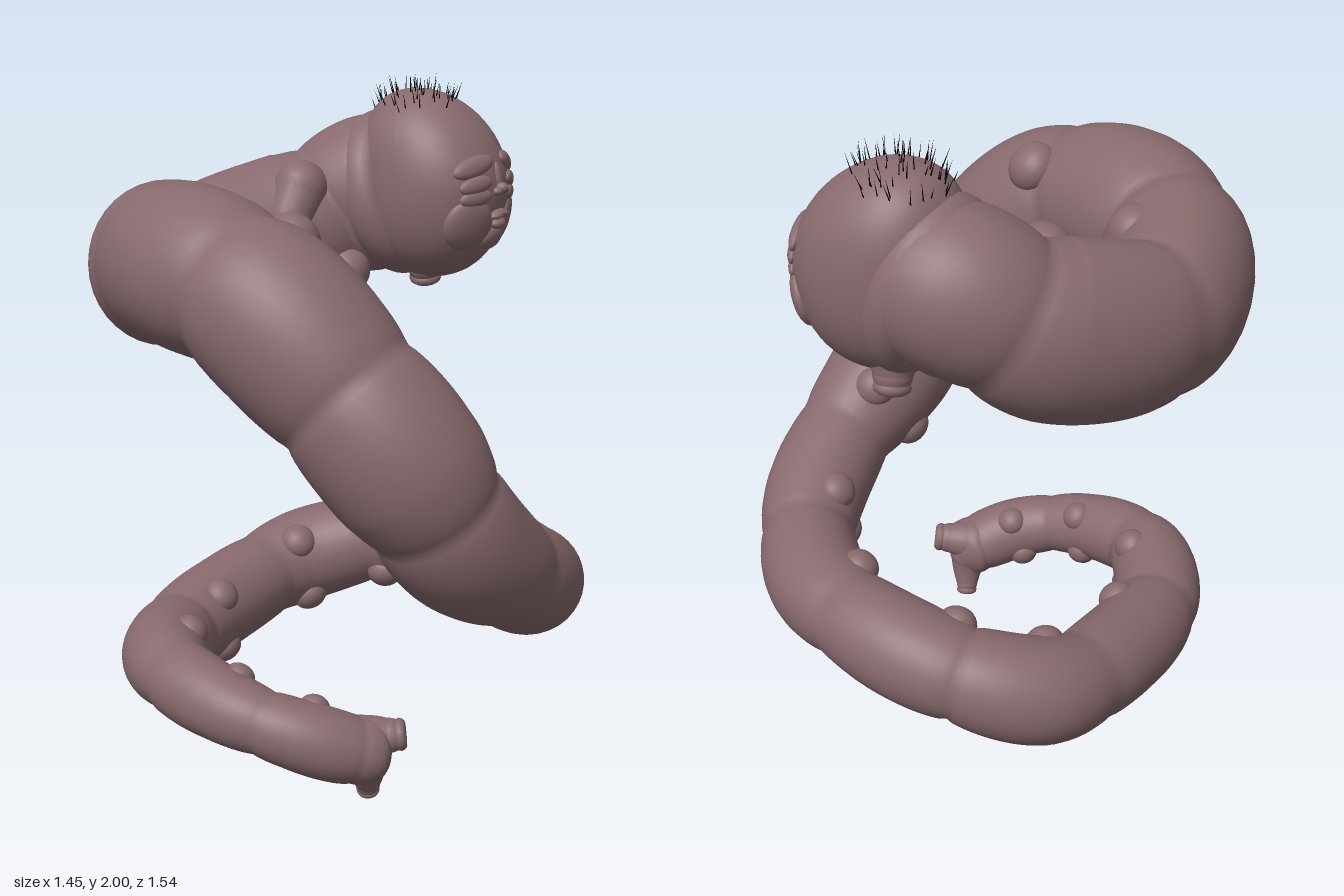
import * as THREE from 'three';
import { mergeGeometries } from 'three/addons/utils/BufferGeometryUtils.js';

// Spine from neck to tail: x, y, z, radius
const SPINE = [
  [0.50, 1.66, -0.10, 0.20], [0.49, 1.64, -0.27, 0.225], [0.325, 1.51, -0.445, 0.245], [0.0, 1.45, -0.575, 0.245],
  [-0.31, 1.49, -0.44, 0.24], [-0.45, 1.53, -0.20, 0.23], [-0.49, 1.47, 0.08, 0.235], [-0.45, 1.27, 0.32, 0.23],
  [-0.38, 1.05, 0.50, 0.22], [-0.25, 0.84, 0.57, 0.195], [0.0, 0.67, 0.59, 0.165], [0.27, 0.55, 0.49, 0.155],
  [0.47, 0.50, 0.28, 0.15], [0.55, 0.49, 0.0, 0.145], [0.51, 0.44, -0.28, 0.15], [0.35, 0.37, -0.48, 0.155],
  [0.0, 0.32, -0.51, 0.142], [-0.30, 0.30, -0.45, 0.14], [-0.50, 0.32, -0.28, 0.125], [-0.55, 0.29, -0.03, 0.105],
  [-0.49, 0.24, 0.18, 0.10], [-0.37, 0.18, 0.31, 0.105], [-0.28, 0.16, 0.35, 0.085],
];
const LAST = SPINE.length - 1;
const curve = new THREE.CatmullRomCurve3(SPINE.map(p => new THREE.Vector3(p[0], p[1], p[2])));

// Point, axes and radius at spine position k; n points towards the middle of the coil
function frameAt(k) {
  const p = curve.getPoint(k / LAST), t = curve.getTangent(k / LAST);
  const n = new THREE.Vector3(-p.x, 0, -p.z);
  n.addScaledVector(t, -n.dot(t)).normalize();
  const b = new THREE.Vector3().crossVectors(t, n);
  const i = Math.min(Math.floor(k), LAST - 1);
  return { p, t, n, b, r: THREE.MathUtils.lerp(SPINE[i][3], SPINE[i + 1][3], k - i) };
}

// Loft of round cross-sections; the length of n and b flattens them
function loft(frames, sides) {
  const pos = [], idx = [];
  frames.forEach(({ p, n, b, r }, i) => {
    for (let j = 0; j < sides; j++) {
      const a = j / sides * Math.PI * 2;
      const v = p.clone().addScaledVector(n, r * Math.cos(a)).addScaledVector(b, r * Math.sin(a));
      pos.push(v.x, v.y, v.z);
      if (i === frames.length - 1) continue;
      const j2 = (j + 1) % sides, A = i * sides + j, B = i * sides + j2;
      idx.push(A, B, A + sides, B, B + sides, A + sides);
    }
  });
  const g = new THREE.BufferGeometry();
  g.setAttribute('position', new THREE.Float32BufferAttribute(pos, 3));
  g.setIndex(idx);
  g.computeVertexNormals();
  return g;
}

export function createModel() {
  const root = new THREE.Group();
  const skin = new THREE.MeshStandardMaterial({ color: 0x886a6d });
  skin.name = 'mauve skin';
  const black = new THREE.MeshStandardMaterial({ color: 0x000000 });
  black.name = 'black hair';

  const add = (name, geo, parent = root, mat = skin) => {
    const m = new THREE.Mesh(geo, mat);
    m.name = name;
    parent.add(m);
    return m;
  };
  const blob = (name, parent, pos, scale, rotZ = 0) => {
    const m = add(name, new THREE.SphereGeometry(1, 24, 16), parent);
    m.position.set(...pos);
    m.scale.set(...scale);
    m.rotation.z = rotZ;
    return m;
  };

  // Segmented body with creases and a rounded tail, flattened at the upper back
  const frames = [], STEPS = 340;
  for (let i = 0; i <= STEPS; i++) {
    const k = i / STEPS * LAST, f = frameAt(k);
    const bulge = Math.sqrt(Math.abs(Math.sin(Math.PI * (k * 0.72 + 0.89))));
    const end = Math.max(0, (k - LAST + 0.7) / 0.7);
    f.r *= (0.89 + 0.13 * bulge) * Math.sqrt(Math.max(0.0001, 1 - end * end));
    f.n.multiplyScalar(1 - 0.17 * Math.exp(-(k - 3) * (k - 3) / 1.5));
    frames.push(f);
  }
  add('body', loft(frames, 36));

  // Pairs of rounded prolegs on the inner side of the coil
  const prolegs = new THREE.Group();
  prolegs.name = 'prolegs';
  root.add(prolegs);
  for (const k of [5.8, 7.7, 9.4, 10.9, 12.4, 13.8, 15.1, 16.4, 17.7, 19, 20.2]) {
    const f = frameAt(k);
    for (const s of [-1, 1]) {
      const d = f.n.clone().multiplyScalar(Math.cos(0.8)).addScaledVector(f.b, s * Math.sin(0.8));
      const q = 0.022 + f.r * 0.24;
      const leg = blob('proleg', prolegs, [0, 0, 0], [q, q, q * 0.85]);
      leg.position.copy(f.p).addScaledVector(d, f.r * 0.88);
      leg.quaternion.setFromUnitVectors(new THREE.Vector3(0, 0, 1), d);
    }
  }

  // Limbs hanging by the head and at the tail: path points with start and end radius
  const limb = (name, pts, r0, r1) => {
    const g = new THREE.Group();
    g.name = name;
    root.add(g);
    const c = new THREE.CatmullRomCurve3(pts.map(p => new THREE.Vector3(...p)));
    const fr = c.computeFrenetFrames(16);
    const rings = fr.tangents.map((t, i) => {
      const n = fr.normals[i];
      return { p: c.getPointAt(i / 16), n, b: new THREE.Vector3().crossVectors(t, n), r: r0 + (r1 - r0) * i / 16 };
    });
    add(name + 'Stub', loft(rings, 20), g);
    for (const i of [0, 16]) {
      const r = rings[i].r;
      blob(name + 'End', g, rings[i].p.toArray(), [r, r, r]);
    }
    const foot = add(name + 'Foot', new THREE.TorusGeometry(r1 * 0.6, r1 * 0.35, 10, 20), g);
    foot.position.copy(rings[16].p).addScaledVector(fr.tangents[16], r1 * 0.65);
    foot.quaternion.setFromUnitVectors(new THREE.Vector3(0, 0, 1), fr.tangents[16]);
  };
  limb('frontLeg', [[0.55, 1.52, -0.13], [0.56, 1.45, -0.12], [0.575, 1.385, -0.125]], 0.1, 0.055);
  limb('frontLeg', [[0.31, 1.40, -0.24], [0.28, 1.34, -0.22], [0.265, 1.28, -0.21]], 0.075, 0.042);
  limb('sideLeg', [[0.22, 1.66, -0.35], [0.14, 1.52, -0.34], [0.155, 1.37, -0.29]], 0.085, 0.045);
  limb('sideLeg', [[-0.14, 1.61, -0.41], [-0.135, 1.53, -0.385], [-0.13, 1.46, -0.385]], 0.08, 0.072);
  blob('sideKnob', root, [-0.22, 1.31, -0.33], [0.06, 0.06, 0.06]);
  limb('tailLeg', [[-0.34, 0.16, 0.32], [-0.325, 0.1, 0.32], [-0.308, 0.048, 0.31]], 0.07, 0.036);
  limb('tailLeg', [[-0.35, 0.2, 0.31], [-0.32, 0.21, 0.34], [-0.295, 0.215, 0.375]], 0.075, 0.05);

  // Neck folds behind the head
  const fold = (R, tube, x, y, z, tilt) => {
    const m = add('neckFold', new THREE.TorusGeometry(R, tube, 20, 48));
    m.position.set(x, y, z);
    m.rotation.x = tilt;
    m.scale.set(0.86, 1, 1.2);
  };
  fold(0.205, 0.058, 0.495, 1.63, -0.19, -0.3);
  fold(0.18, 0.06, 0.46, 1.61, -0.28, -0.3);

  // Head: egg whose crown leans back
  const head = new THREE.Group();
  head.name = 'head';
  head.position.set(0.515, 1.665, -0.05);
  root.add(head);
  const HX = 0.214, HY = 0.29, HZ = 0.235, E = 2.15;
  const power = v => Math.pow(Math.abs(v), E);
  const lean = y => -0.5 * Math.pow(Math.max(0, y), 1.6);
  const skull = new THREE.SphereGeometry(1, 48, 36), P = skull.attributes.position;
  for (let i = 0; i < P.count; i++) {
    const v = new THREE.Vector3().fromBufferAttribute(P, i);
    v.multiplyScalar(Math.pow(power(v.x) + power(v.y) + power(v.z), -1 / E));
    P.setXYZ(i, v.x * HX, v.y * HY, v.z * HZ + lean(v.y * HY));
  }
  skull.computeVertexNormals();
  add('skull', skull, head);

  // Facial features half sunk into the skin and turned to follow it
  const faceZ = (x, y) => HZ * Math.pow(Math.max(0, 1 - power(x / HX) - power(y / HY)), 1 / E) + lean(y);
  const onFace = (name, x, y, out, scale, rot = 0) => {
    const m = blob(name, head, [x, y, faceZ(x, y) + out], scale, rot);
    const e = 0.01;
    const dx = (faceZ(x + e, y) - faceZ(x - e, y)) / (2 * e), dy = (faceZ(x, y + e) - faceZ(x, y - e)) / (2 * e);
    const normal = new THREE.Vector3(-dx, -dy, 1).normalize();
    m.quaternion.premultiply(new THREE.Quaternion().setFromUnitVectors(new THREE.Vector3(0, 0, 1), normal));
  };
  const C = 0.012;
  for (const s of [-1, 1]) {
    onFace('upperEyelid', C + s * 0.1, 0.022, -0.004, [0.06, 0.027, 0.017], -s * 0.15);
    onFace('lowerEyelid', C + s * 0.1, -0.018, -0.004, [0.058, 0.026, 0.016], -s * 0.1);
    onFace('brow', C + s * 0.095, 0.075, -0.008, [0.078, 0.032, 0.02], -s * 0.2);
    onFace('cheek', C + s * 0.1, -0.1, -0.02, [0.085, 0.085, 0.032]);
    onFace('nostril', C + s * 0.02, -0.003, 0.0, [0.017, 0.013, 0.018]);
    onFace('upperLip', C + s * 0.018, -0.073, 0.008, [0.03, 0.013, 0.02], -s * 0.25);
  }
  onFace('noseBridge', C, 0.035, -0.008, [0.02, 0.05, 0.016]);
  onFace('noseTip', C, 0.006, 0.004, [0.02, 0.018, 0.024]);
  onFace('lowerLip', C, -0.103, 0.006, [0.033, 0.018, 0.022]);
  onFace('chin', C, -0.15, -0.004, [0.055, 0.04, 0.025]);

  // Sparse hair on the crown
  let seed = 7;
  const rnd = () => (seed = (seed * 16807) % 2147483647) / 2147483647;
  const hairs = [];
  for (let i = 0; i < 64; i++) {
    const a = rnd() * Math.PI * 2, d = Math.sqrt(rnd());
    const x = Math.cos(a) * d * 0.14, z = -0.01 + Math.sin(a) * d * 0.15;
    const y = HY * Math.pow(1 - power(x / HX) - power(z / HZ), 1 / E);
    const len = 0.04 + rnd() * 0.03;
    const g = new THREE.ConeGeometry(0.0028, len, 4).translate(0, len / 2 - 0.008, 0);
    const dir = new THREE.Vector3(x * 3 + (rnd() - 0.5) * 0.3, 1, z * 2 + (rnd() - 0.5) * 0.4).normalize();
    g.applyQuaternion(new THREE.Quaternion().setFromUnitVectors(new THREE.Vector3(0, 1, 0), dir));
    hairs.push(g.translate(x, y, z + lean(y)));
  }
  add('hair', mergeGeometries(hairs), head, black);
  return root;
}
